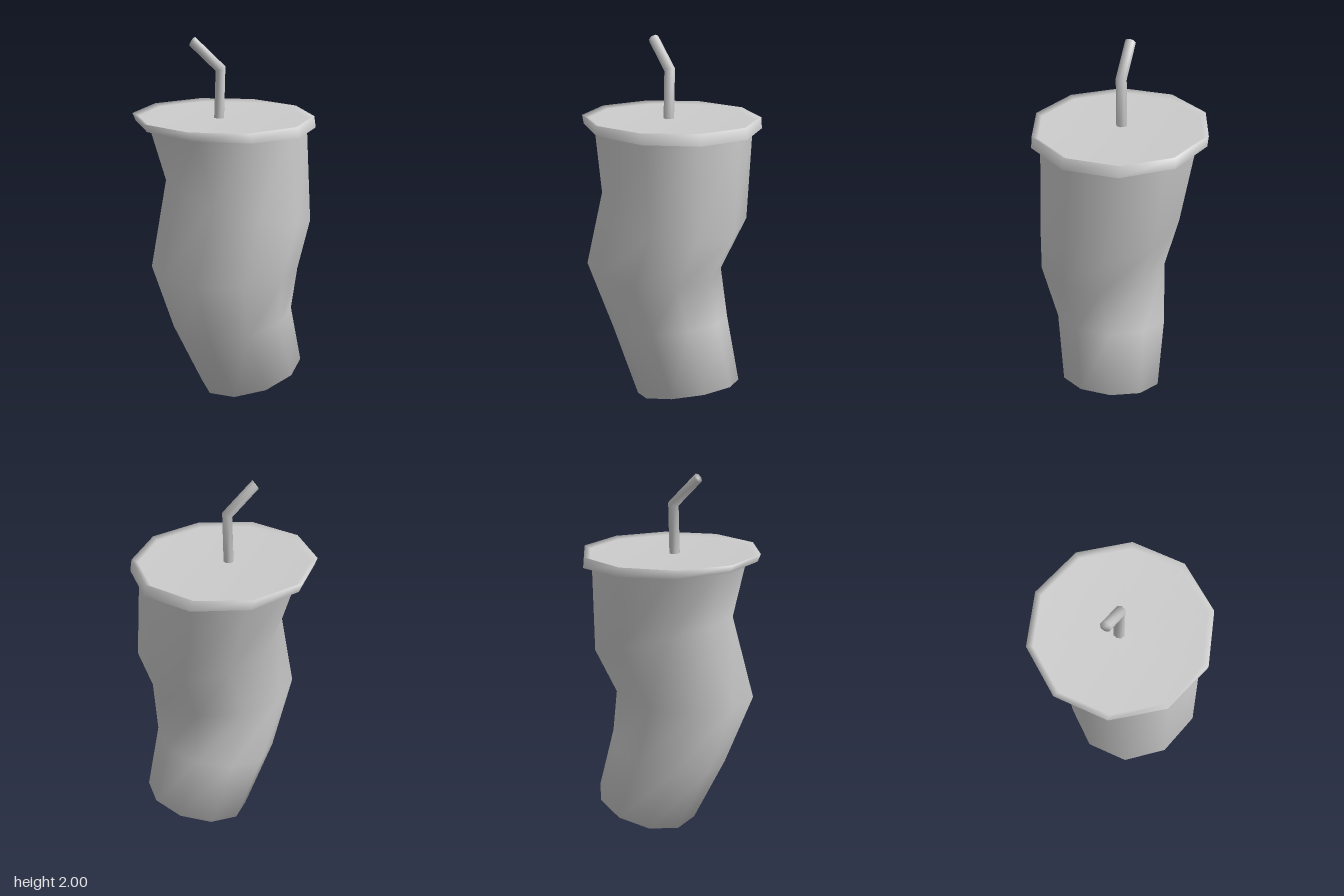
import * as THREE from 'three';

// Skin through tilted elliptical rings, listed bottom to top.
// Each ring: [left x, left y, right x, right y, front z, back z]
function loft(name, rings, sides, capBottom, capTop, side = THREE.FrontSide) {
  const pos = [], index = [];
  let widest = 0;
  for (let j = 0; j < sides; j++) widest = Math.max(widest, Math.sin((j / sides) * Math.PI * 2));
  for (const [lx, ly, rx, ry, zf, zb] of rings) {
    for (let j = 0; j < sides; j++) {
      const a = (j / sides) * Math.PI * 2;
      const s = Math.sin(a) / widest;
      pos.push(
        (lx + rx) / 2 + (s * (rx - lx)) / 2,
        (ly + ry) / 2 + (s * (ry - ly)) / 2,
        (zf + zb) / 2 + (Math.cos(a) * (zf - zb)) / 2
      );
    }
  }
  for (let i = 0; i < rings.length - 1; i++) {
    for (let j = 0; j < sides; j++) {
      const k = (j + 1) % sides;
      const a = i * sides + j, b = i * sides + k;
      index.push(a, b, b + sides, a, b + sides, a + sides);
    }
  }
  // Fan caps share the rim vertices so the edge shades softly
  const cap = (row, up) => {
    const [lx, ly, rx, ry, zf, zb] = rings[row];
    const c = pos.length / 3;
    pos.push((lx + rx) / 2, (ly + ry) / 2, (zf + zb) / 2);
    for (let j = 0; j < sides; j++) {
      const a = row * sides + j, b = row * sides + ((j + 1) % sides);
      if (up) index.push(c, a, b);
      else index.push(c, b, a);
    }
  };
  if (capBottom) cap(0, false);
  if (capTop) cap(rings.length - 1, true);

  const geo = new THREE.BufferGeometry();
  geo.setAttribute('position', new THREE.Float32BufferAttribute(pos, 3));
  geo.setIndex(index);
  geo.computeVertexNormals();
  const mesh = new THREE.Mesh(geo, new THREE.MeshStandardMaterial({ color: 0xcccccc, side }));
  mesh.name = name;
  return mesh;
}

export function createModel() {
  const model = new THREE.Group();
  model.name = 'crumpledCup';

  // Bent, dented cup body with a closed base
  model.add(loft('cupBody', [
    [-0.11, 0.0, 0.43, 0.145, 0.28, -0.28],
    [-0.28, 0.37, 0.35, 0.49, 0.35, -0.275],
    [-0.41, 0.76, 0.355, 0.75, 0.455, -0.25],
    [-0.305, 1.22, 0.445, 1.0, 0.42, -0.355],
    [-0.395, 1.555, 0.42, 1.55, 0.425, -0.425],
  ], 10, true, false, THREE.DoubleSide));

  // Lid: open skirt, raised rim and slightly sunken top
  model.add(loft('lid', [
    [-0.452, 1.545, 0.466, 1.515, 0.475, -0.475],
    [-0.47, 1.587, 0.457, 1.577, 0.475, -0.478],
    [-0.437, 1.572, 0.427, 1.562, 0.443, -0.446],
  ], 10, false, true, THREE.DoubleSide));

  // Straw with a mitred bend
  model.add(loft('straw', [
    [-0.057, 1.55, -0.002, 1.55, 0.03, -0.03],
    [-0.048, 1.818, 0.006, 1.84, 0.03, -0.03],
    [-0.187, 1.955, -0.157, 2.0, 0.03, -0.03],
  ], 8, true, true));

  return model;
}
